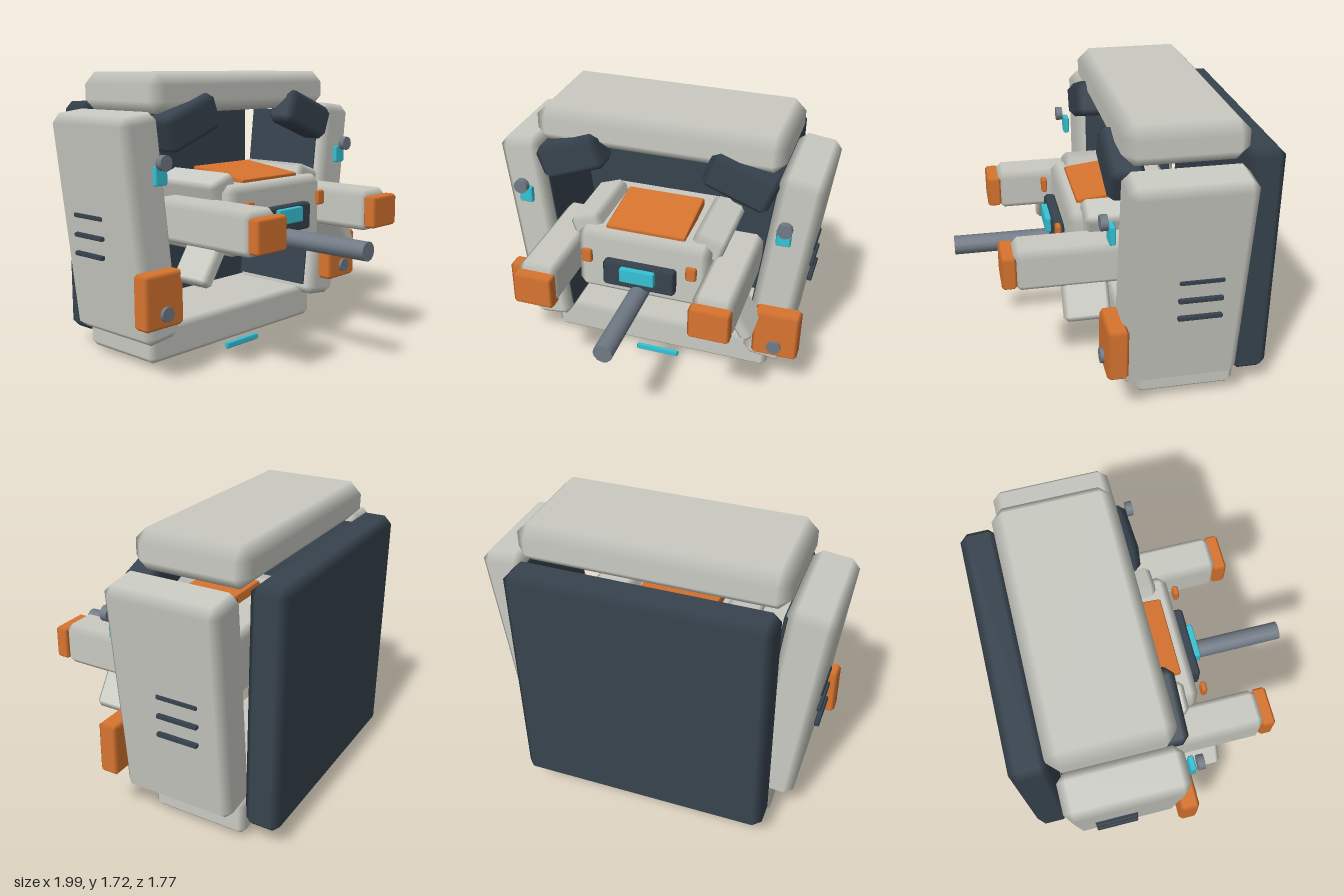
import * as THREE from 'three';
import { ConvexGeometry } from 'three/addons/geometries/ConvexGeometry.js';

const material = (name, color) => {
  const m = new THREE.MeshStandardMaterial({ color });
  m.name = name;
  return m;
};

// Box with a single chamfer on every edge, flat faces and shading blended over the chamfers
function chamferBox(w, h, d, c) {
  const half = [w / 2, h / 2, d / 2];
  const points = [];
  for (const sx of [-1, 1]) for (const sy of [-1, 1]) for (const sz of [-1, 1]) {
    const s = [sx, sy, sz];
    for (let axis = 0; axis < 3; axis++) {
      points.push(new THREE.Vector3(...half.map((v, i) => s[i] * (i === axis ? v : v - c))));
    }
  }
  const geometry = new ConvexGeometry(points);
  const { position, normal } = geometry.attributes;
  for (let i = 0; i < position.count; i++) {
    const p = [position.getX(i), position.getY(i), position.getZ(i)];
    normal.setXYZ(i, ...p.map((v, k) => (Math.abs(v) > half[k] - c * 0.5 ? Math.sign(v) : 0)));
  }
  return geometry;
}

export function createModel() {
  const model = new THREE.Group();
  const shell = material('shell grey', 0xc9cac2);
  const dark = material('dark slate', 0x37434e);
  const orange = material('orange', 0xd8742f);
  const cyan = material('cyan glow', 0x35c3d6);
  const steel = material('steel', 0x717a86);

  const add = (name, geometry, mat, pos, rot = [0, 0, 0]) => {
    const mesh = new THREE.Mesh(geometry, mat);
    mesh.name = name;
    mesh.position.set(...pos);
    mesh.rotation.set(...rot);
    model.add(mesh);
    return mesh;
  };
  const box = (name, mat, size, c, pos, rot) => add(name, chamferBox(...size, c), mat, pos, rot);
  const rod = (name, r, length, pos) => add(name,
    new THREE.CylinderGeometry(r, r, length, 12), steel, pos, [Math.PI / 2, 0, 0]);

  // Outer frame
  box('topBeam', shell, [1.515, 0.23, 0.69], 0.07, [0, 1.607, -0.335]);
  box('bottomBeam', shell, [1.465, 0.22, 0.59], 0.035, [0, 0.15, -0.385]);
  box('backPlate', dark, [1.47, 1.42, 0.212], 0.045, [0, 0.833, -0.778]);
  box('bottomLight', cyan, [0.29, 0.04, 0.035], 0.01, [0, 0.024, -0.065]);

  // Central body
  box('body', shell, [0.82, 0.415, 0.695], 0.045, [0, 0.878, -0.1025]);
  box('hatch', orange, [0.49, 0.06, 0.42], 0.008, [0, 1.1, -0.035], [0.12, 0, 0]);
  box('facePlate', dark, [0.445, 0.165, 0.07], 0.015, [0, 0.855, 0.277]);
  box('faceScreen', cyan, [0.215, 0.09, 0.045], 0.006, [0, 0.88, 0.322]);
  rod('barrel', 0.057, 0.69, [0, 0.745, 0.545]);

  // Mirrored parts
  for (const s of [1, -1]) {
    const side = s > 0 ? 'left' : 'right';
    const tilt = [0, 0, -0.118 * s];
    box(side + 'SidePanel', shell, [0.265, 1.305, 0.685], 0.05, [0.794 * s, 0.852, -0.313], tilt);
    box(side + 'SideLining', dark, [0.02, 1.18, 0.58], 0.004, [0.664 * s, 0.87, -0.33], tilt);
    for (const y of [0.685, 0.795, 0.91]) {
      box(side + 'Vent', dark, [0.03, 0.026, 0.25], 0.006, [0.93 * s, y, -0.385]);
    }
    box(side + 'Visor', dark, [0.42, 0.215, 0.2], 0.04, [0.517 * s, 1.442, -0.022], [0, 0, -0.36 * s]);

    // Shoulders and arms
    box(side + 'Shoulder', shell, [0.2, 0.15, 0.5], 0.03, [0.375 * s, 1.055, -0.085], [0, 0, -0.33 * s]);
    box(side + 'Arm', shell, [0.238, 0.25, 0.79], 0.04, [0.523 * s, 0.883, 0.192]);
    box(side + 'ArmCap', orange, [0.238, 0.192, 0.085], 0.015, [0.523 * s, 0.88, 0.61]);
    box(side + 'Strut', shell, [0.085, 0.3, 0.265], 0.025, [0.6 * s, 0.695, 0.188], [0, 0, 0.58 * s]);
    box(side + 'FaceLight', orange, [0.065, 0.088, 0.035], 0.01, [0.322 * s, 0.953, 0.297]);

    // Lower blocks, knobs and lamps
    box(side + 'LowerBlock', orange, [0.283, 0.315, 0.12], 0.02, [0.81 * s, 0.485, 0.065]);
    rod(side + 'LowerKnob', 0.044, 0.06, [0.81 * s, 0.412, 0.115]);
    rod(side + 'UpperKnob', 0.044, 0.04, [0.81 * s, 1.245, 0.125]);
    box(side + 'SideLamp', cyan, [0.086, 0.106, 0.036], 0.008, [0.8 * s, 1.172, 0.081]);
  }
  return model;
}
